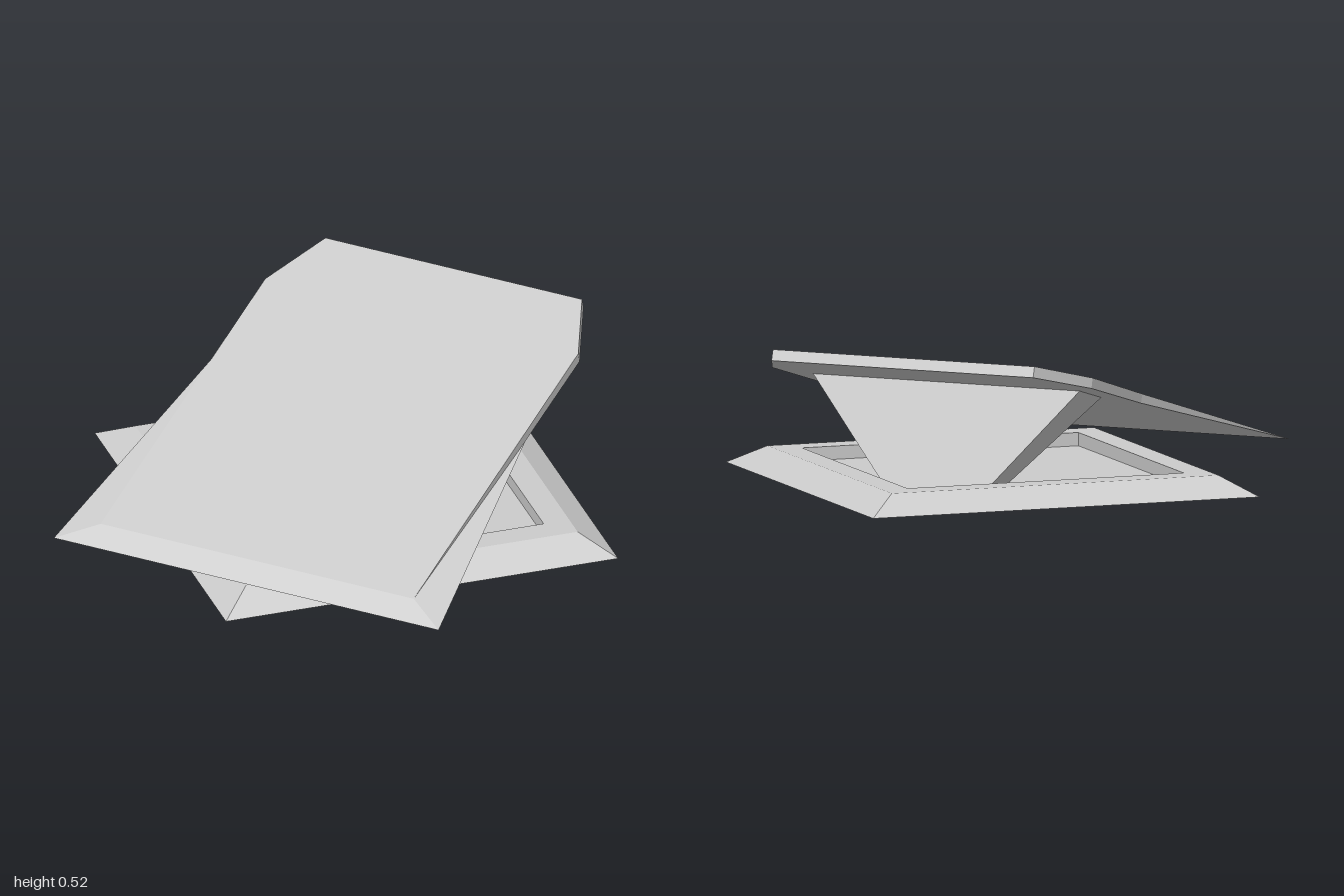
import * as THREE from 'three';

const material = new THREE.MeshStandardMaterial({ color: 0xcccccc, flatShading: true });

// Closed solid between two rings of [x, y, z] points, counter-clockwise seen from above
function loft(bottom, top) {
  const n = bottom.length;
  const index = [];
  for (let i = 0; i < n; i++) {
    const j = (i + 1) % n;
    index.push(i, j, n + i, n + i, j, n + j);
  }
  const cap = (ring, offset, up) => {
    const outline = ring.map(([x, , z]) => new THREE.Vector2(x, -z));
    for (const [a, b, c] of THREE.ShapeUtils.triangulateShape(outline, [])) {
      if (up) index.push(offset + a, offset + b, offset + c);
      else index.push(offset + a, offset + c, offset + b);
    }
  };
  cap(bottom, 0, false);
  cap(top, n, true);
  const indexed = new THREE.BufferGeometry();
  indexed.setAttribute('position', new THREE.Float32BufferAttribute([...bottom, ...top].flat(), 3));
  indexed.setIndex(index);
  const geometry = indexed.toNonIndexed();
  geometry.computeVertexNormals();
  return geometry;
}

// Mirrors a half outline running from the left front to the back, giving a full ring
function mirrorRing(half) {
  const mirrored = half.map(([x, y, z]) => [-x, y, z]).reverse();
  return [...half, ...mirrored];
}

export function createModel() {
  const group = new THREE.Group();
  const add = (name, geometry) => {
    const mesh = new THREE.Mesh(geometry, material);
    mesh.name = name;
    group.add(mesh);
  };

  // Base: square plinth turned 45 degrees, sloped edge and shallow recess
  const profile = [[0, 0], [1, 0], [0.845, 0.066], [0.715, 0.066], [0.715, 0.02], [0, 0.02]];
  const base = new THREE.LatheGeometry(profile.map(([r, y]) => new THREE.Vector2(r, y)), 4).toNonIndexed();
  base.computeVertexNormals();
  add('base', base);

  // Strut: leaning support that flares towards the panel
  add('strut', loft(
    mirrorRing([[0.175, 0.02, -0.313], [0.175, 0.02, -0.493]]),
    mirrorRing([[0.5, 0.342, -0.208], [0.5, 0.389, -0.388]])
  ));

  // Panel: tilted slab with clipped rear corners and a flared, bevelled front
  const topY = (z) => 0.117 + (0.76 - z) * 0.268;
  const bottomY = (z) => 0.07 + (0.845 - z) * 0.258;
  const outline = (points, height) => mirrorRing(points.map(([x, z]) => [x, height(z), z]));
  add('panel', loft(
    outline([[0.735, 0.845], [0.598, -0.095], [0.598, -0.51], [0.49, -0.757]], bottomY),
    outline([[0.598, 0.76], [0.598, -0.085], [0.598, -0.5], [0.49, -0.745]], topY)
  ));

  return group;
}
